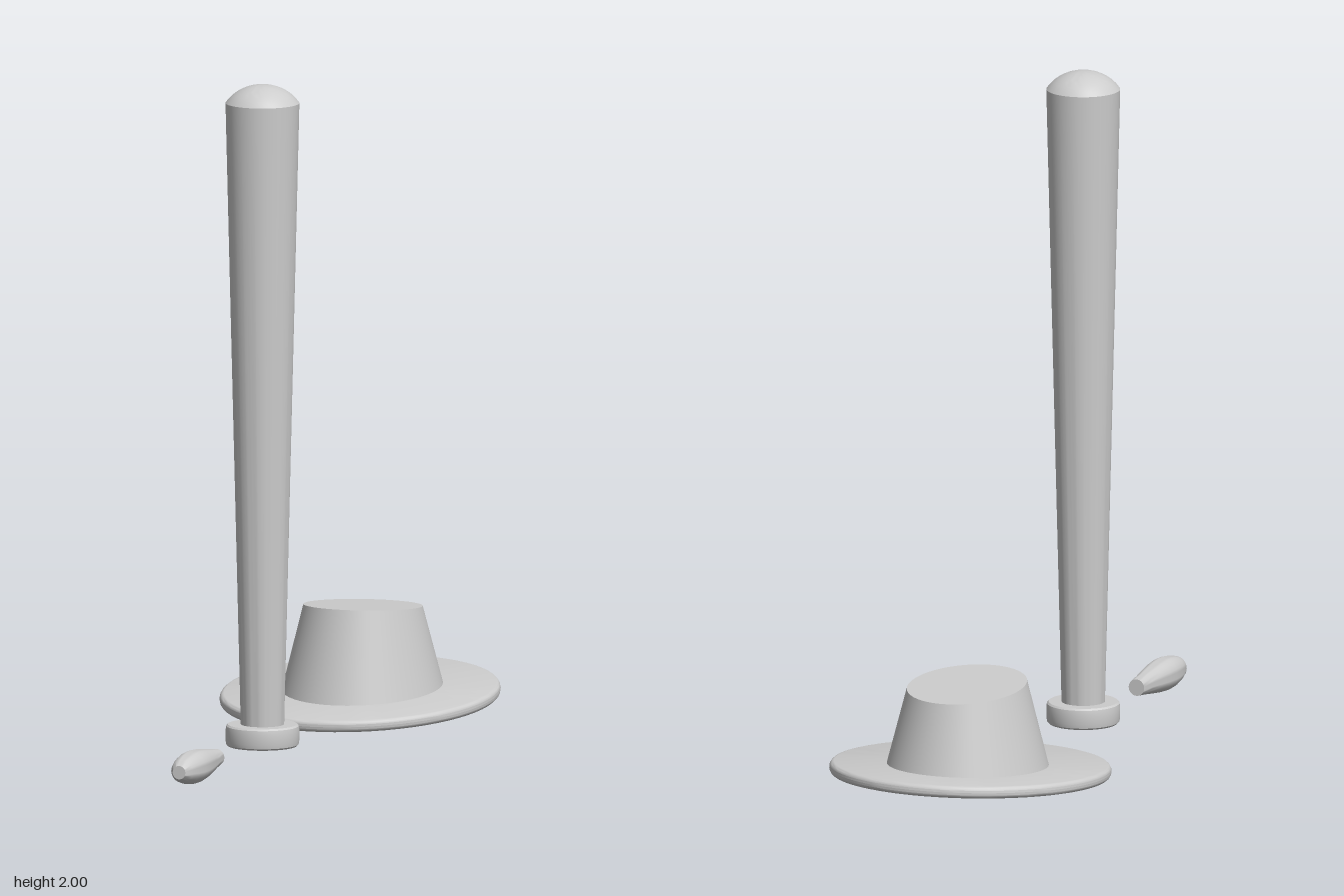
import * as THREE from 'three';
import { toCreasedNormals } from 'three/addons/utils/BufferGeometryUtils.js';

export function createModel() {
  const model = new THREE.Group();
  const grey = new THREE.MeshStandardMaterial({ color: 0xcccccc });
  grey.name = 'plain grey';

  const add = (parent, name, geometry) => {
    const mesh = new THREE.Mesh(toCreasedNormals(geometry, 0.6), grey);
    mesh.name = name;
    parent.add(mesh);
    return mesh;
  };
  // Profile of [radius, height] pairs, from bottom to top
  const lathe = (profile, segments = 48) =>
    new THREE.LatheGeometry(profile.map(([r, y]) => new THREE.Vector2(r, y)), segments);

  // Bat: round knob, tapered barrel and domed tip
  const bat = new THREE.Group();
  bat.name = 'bat';
  bat.position.z = 0.287;
  model.add(bat);
  add(bat, 'knob', lathe([
    [0, 0.028], [0.102, 0.028], [0.107, 0.033], [0.109, 0.045], [0.109, 0.075],
    [0.107, 0.087], [0.102, 0.092], [0, 0.092],
  ]));
  add(bat, 'barrel', lathe([[0.064, 0.088], [0.109, 1.945]]));
  const dome = [];
  for (let i = 0; i <= 8; i++) {
    const a = (1 - i / 8) * 1.05;
    const R = 0.109 / Math.sin(1.05);
    dome.push([R * Math.sin(a), 2 - R * (1 - Math.cos(a)) * (0.055 / (R * (1 - Math.cos(1.05))))]);
  }
  add(bat, 'tip', lathe(dome));

  // Hat: oval brim with a rounded rim, tilted up at the back
  const hat = new THREE.Group();
  hat.name = 'hat';
  model.add(hat);
  const brimProfile = [[0, -0.018]];
  for (let i = 0; i <= 8; i++) {
    const a = -Math.PI / 2 + (i / 8) * Math.PI;
    brimProfile.push([0.435 + 0.015 * Math.cos(a), 0.018 * Math.sin(a)]);
  }
  brimProfile.push([0, 0.018]);
  const brim = add(hat, 'brim', lathe(brimProfile, 64).scale(0.91, 1, 1));
  brim.position.set(0, 0.0625, -0.53);
  brim.rotation.x = 0.073;

  // Crown: oval taper whose base follows the brim and whose top slopes backward
  const crown = new THREE.CylinderGeometry(1, 1, 1, 64);
  const p = crown.attributes.position;
  for (let i = 0; i < p.count; i++) {
    const top = p.getY(i) > 0;
    const x = p.getX(i) * (top ? 0.172 : 0.235);
    const z = p.getZ(i) * (top ? 0.202 : 0.263);
    p.setXYZ(i, x, top ? 0.323 + 0.075 * z : 0.078 - 0.073 * z, z - (top ? 0.555 : 0.549));
  }
  add(hat, 'crown', crown);

  // Small spindle lying along z
  const spindle = add(model, 'spindle', lathe([
    [0, 0.672], [0.025, 0.672], [0.031, 0.72], [0.039, 0.77], [0.046, 0.82], [0.049, 0.86],
    [0.048, 0.89], [0.043, 0.925], [0.034, 0.96], [0.02, 0.985], [0, 0.985],
  ], 32));
  spindle.rotation.x = Math.PI / 2;
  spindle.position.y = 0.05;

  return model;
}
